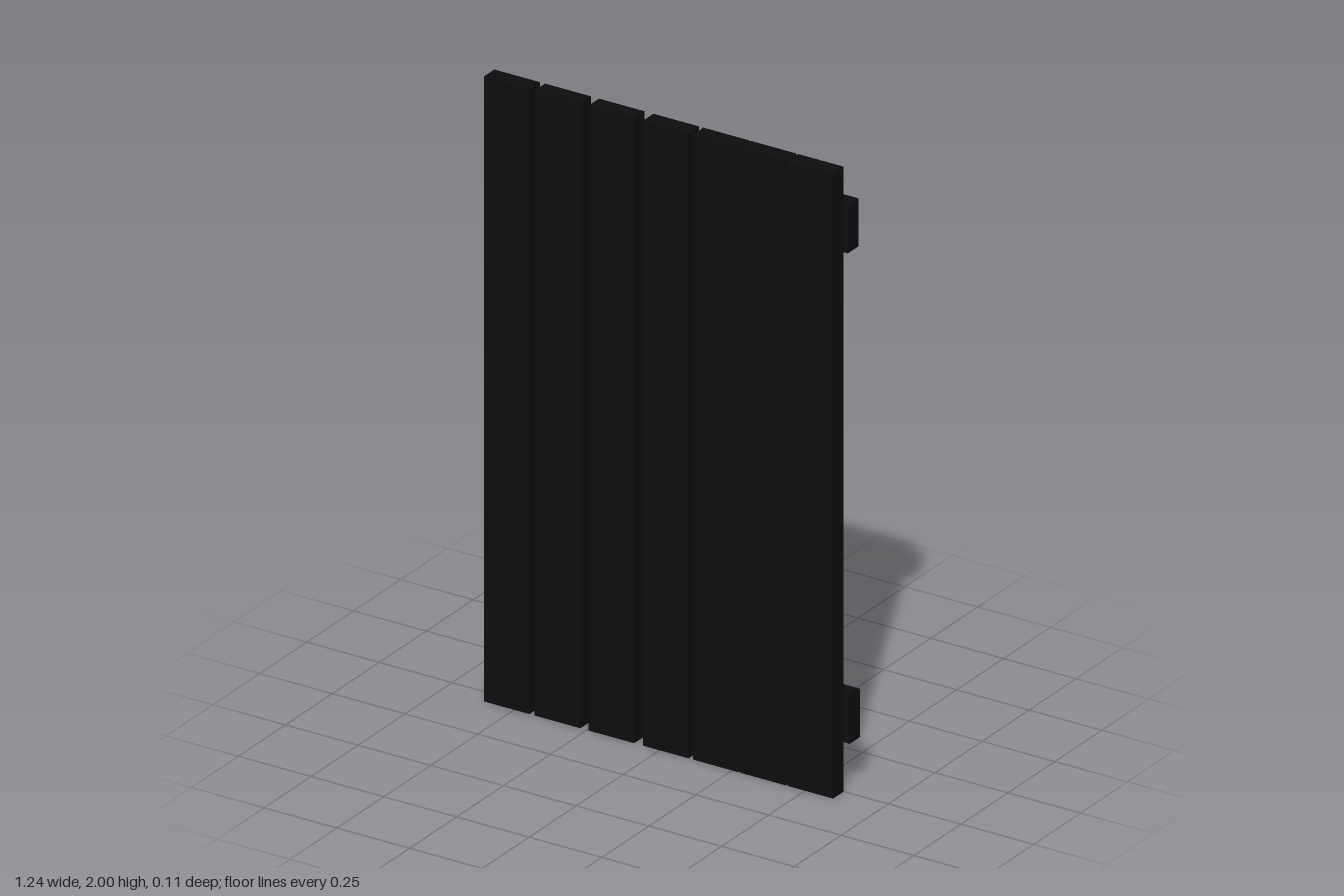
import * as THREE from 'three';

export function createModel() {
  const model = new THREE.Group();
  model.name = 'slattedPanel';

  const blackWood = new THREE.MeshStandardMaterial({ color: 0x0d0d0d });
  blackWood.name = 'blackWood';

  const depth = 0.056;
  const addBoard = (name, width, height, x, y, z) => {
    const board = new THREE.Mesh(new THREE.BoxGeometry(width, height, depth), blackWood);
    board.name = name;
    board.position.set(x, y, z);
    model.add(board);
  };

  // Upright planks with uneven gaps, at the front
  [-0.526, -0.351, -0.166, 0.021, 0.193, 0.355, 0.518].forEach((x, i) =>
    addBoard(`plank${i + 1}`, 0.157, 2, x, 1, depth / 2));

  // Cross rails behind the planks, slightly offset from each other
  addBoard('upperRail', 1.231, 0.154, -0.004, 1.803, -depth / 2);
  addBoard('lowerRail', 1.231, 0.154, 0.002, 0.235, -depth / 2);

  return model;
}
